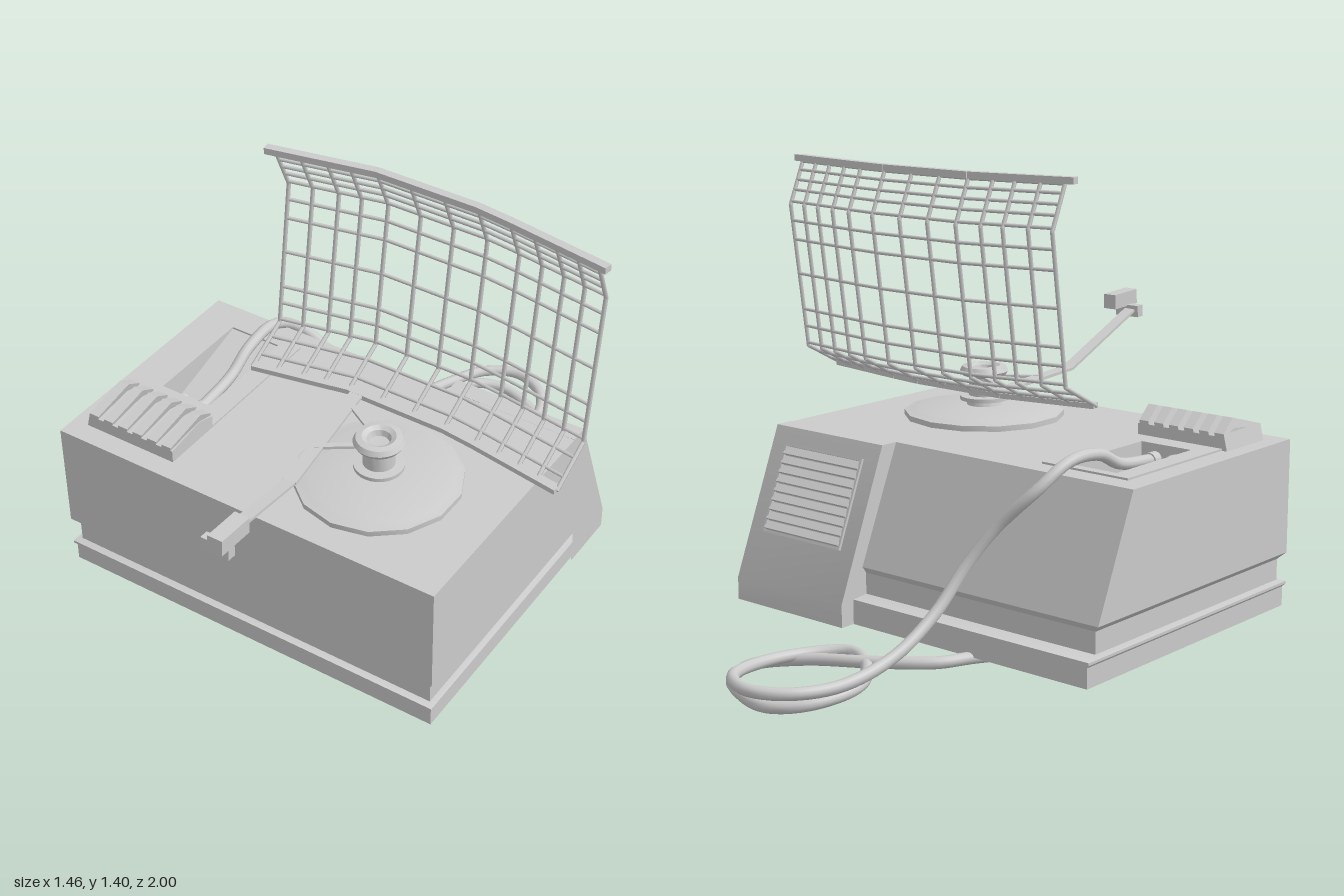
import * as THREE from 'three';
import { mergeGeometries, toCreasedNormals } from 'three/addons/utils/BufferGeometryUtils.js';

const mat = new THREE.MeshStandardMaterial({ color: 0xcccccc, side: THREE.DoubleSide });
const V = (x, y, z) => new THREE.Vector3(x, y, z);

// Surface through rows of points; closed joins the end of each row to its start
function sheet(rows, closed = false) {
  const n = rows[0].length, pos = rows.flat(2), idx = [];
  for (let r = 0; r < rows.length - 1; r++) {
    for (let i = 0; i < (closed ? n : n - 1); i++) {
      const a = r * n + i, b = r * n + (i + 1) % n;
      idx.push(a, b, b + n, a, b + n, a + n);
    }
  }
  const g = new THREE.BufferGeometry();
  g.setAttribute('position', new THREE.Float32BufferAttribute(pos, 3));
  g.setIndex(idx);
  g.computeVertexNormals();
  return toCreasedNormals(g, 0.5);
}

// Box beam from a to b: w across, h thick
function beam(a, b, w, h) {
  const d = b.clone().sub(a);
  const g = new THREE.BoxGeometry(w, h, d.length());
  const m = new THREE.Matrix4().lookAt(b, a, V(0, 1, 0)).setPosition(a.clone().add(b).multiplyScalar(0.5));
  return g.applyMatrix4(m);
}

// Round wire along a polyline
function wire(points, r) {
  return mergeGeometries(points.slice(1).map((b, i) => {
    const a = points[i], d = b.clone().sub(a);
    const q = new THREE.Quaternion().setFromUnitVectors(V(0, 1, 0), d.clone().normalize());
    const mid = a.clone().add(b).multiplyScalar(0.5);
    return new THREE.CylinderGeometry(r, r, d.length() + r, 6).applyQuaternion(q).translate(mid.x, mid.y, mid.z);
  }));
}

// Piecewise linear lookup in [[key, value], ...]
function lerpTable(t, k) {
  let i = 0;
  while (i < t.length - 2 && k > t[i + 1][0]) i++;
  const [a, va] = t[i], [b, vb] = t[i + 1];
  return va + (vb - va) * (k - a) / (b - a);
}

const rectPath = (P, x0, x1, z0, z1) => new P([[x0, -z1], [x1, -z1], [x1, -z0], [x0, -z0]].map(p => new THREE.Vector2(...p)));

export function createModel() {
  const model = new THREE.Group();
  const add = (name, geo, parent = model) => {
    const m = new THREE.Mesh(geo, mat);
    m.name = name;
    parent.add(m);
    return m;
  };

  // Housing: hollow shell with a base rim and a groove above it
  const ring = (y, x0, x1, zb, zf) => [[x0, y, zf], [x1, y, zf], [x1, y, zb], [x0, y, zb]];
  add('housingShell', sheet([
    ring(0.16, -0.70, 0.53, -0.35, 0.55),
    ring(0.09, -0.70, 0.53, -0.35, 0.55),
    ring(0.09, -0.73, 0.56, -0.39, 0.58),
    ring(0.15, -0.73, 0.56, -0.39, 0.58),
    ring(0.157, -0.735, 0.567, -0.39, 0.59),
    ring(0.165, -0.735, 0.567, -0.39, 0.59),
    ring(0.17, -0.715, 0.55, -0.335, 0.57),
    ring(0.235, -0.715, 0.55, -0.335, 0.57),
    ring(0.255, -0.735, 0.567, -0.35, 0.59),
    ring(0.605, -0.735, 0.567, -0.2, 0.59),
  ], true));

  // Top panel with the opening for the cable channel
  const well = [-0.605, -0.43, -0.10, 0.26];
  const top = rectPath(THREE.Shape, -0.735, 0.567, -0.2, 0.59);
  top.holes.push(rectPath(THREE.Path, ...well));
  add('topPanel', new THREE.ShapeGeometry(top).rotateX(-Math.PI / 2).translate(0, 0.605, 0));
  const frame = rectPath(THREE.Shape, -0.665, -0.365, -0.13, 0.33);
  frame.holes.push(rectPath(THREE.Path, ...well));
  add('channelFrame', new THREE.ExtrudeGeometry(frame, { depth: 0.008, bevelEnabled: false })
    .rotateX(-Math.PI / 2).translate(0, 0.603, 0));

  // Sloping cable channel with two sockets in its end wall
  const [wx0, wx1, wz0, wz1] = well;
  add('cableChannel', sheet([
    [[wx0, 0.605, wz0], [wx0, 0.605, wz0], [wx1, 0.605, wz0], [wx1, 0.605, wz0]],
    [[wx0, 0.605, wz1], [wx0, 0.5, wz1], [wx1, 0.5, wz1], [wx1, 0.605, wz1]],
    [[wx0, 0.605, wz1], [wx0, 0.605, wz1], [wx1, 0.605, wz1], [wx1, 0.605, wz1]],
  ]));
  for (const x of [-0.55, -0.48]) {
    add('socket', new THREE.CylinderGeometry(0.024, 0.024, 0.03, 12).rotateX(Math.PI / 2).translate(x, 0.565, 0.245));
  }

  // Ribbed cover in front of the channel
  const profile = (pts) => new THREE.Shape(pts.map(([z, y]) => new THREE.Vector2(-z, y)));
  const slab = (pts, x, w) => new THREE.ExtrudeGeometry(profile(pts), { depth: w, bevelEnabled: false })
    .rotateY(Math.PI / 2).translate(x, 0, 0);
  add('ribbedCover', slab([[0.525, 0.6], [0.525, 0.645], [0.39, 0.665], [0.33, 0.645], [0.33, 0.6]], -0.67, 0.305));
  for (let i = 0; i < 6; i++) {
    const rib = slab([[0.525, 0.6], [0.525, 0.655], [0.39, 0.693], [0.33, 0.655], [0.33, 0.6]], -0.67 + i * 0.0535, 0.033);
    const p = rib.attributes.position;
    for (let k = 0; k < p.count; k++) p.setX(k, p.getX(k) + (p.getY(k) - 0.655) * 0.25);
    rib.computeVertexNormals();
    add('coverRib', rib);
  }

  // Rear vent block, hollow underneath
  const bx0 = 0.13, bx1 = 0.568;
  const section = (y, zf, zb) => [[bx0, y, zf], [bx0, y, zb], [bx1, y, zb], [bx1, y, zf]];
  add('ventBlock', sheet([
    section(0.606, -0.2, -0.2), section(0.606, -0.2, -0.26),
    section(0.16, -0.24, -0.44), section(0.09, -0.24, -0.44),
  ]));
  const vent = new THREE.Group();
  vent.name = 'rearVent';
  vent.position.set(0.348, 0.43, -0.331);
  vent.rotation.x = Math.PI + 0.384;
  model.add(vent);
  for (let i = 0; i < 9; i++) {
    add('ventSlat', new THREE.BoxGeometry(0.31, 0.026, 0.008).rotateX(0.45).translate(0, -0.116 + i * 0.029, 0.004), vent);
  }
  for (const s of [-1, 1]) {
    add('ventSide', new THREE.BoxGeometry(0.008, 0.27, 0.012).translate(s * 0.157, 0, 0.002), vent);
    add('ventEnd', new THREE.BoxGeometry(0.322, 0.008, 0.012).translate(0, s * 0.135, 0.002), vent);
  }

  // Turntable and spindle
  const lathe = (pts, n) => toCreasedNormals(
    new THREE.LatheGeometry(pts.map(p => new THREE.Vector2(...p)), n), 0.6).translate(0.178, 0, 0.26);
  add('turntable', lathe([[0.25, 0.6], [0.25, 0.622], [0.225, 0.626], [0.205, 0.632], [0.06, 0.64], [0, 0.64]], 14));
  add('spindle', lathe([[0.055, 0.635], [0.05, 0.654], [0.075, 0.656], [0.075, 0.668], [0.048, 0.67], [0.046, 0.728],
    [0.068, 0.734], [0.076, 0.747], [0.068, 0.762], [0.05, 0.765], [0.036, 0.757], [0.03, 0.74], [0, 0.738]], 28));

  // Mesh reflector: side profile plus a forward sweep towards both ends
  const lean = [[0.725, 0.085], [0.80, -0.058], [1.255, -0.126], [1.395, -0.066]];
  const sweep = [[-0.345, 0.06], [-0.04, 0], [0.29, 0.003], [0.4, 0.017], [0.695, 0.065]];
  const at = (x, y) => V(x, y, lerpTable(lean, y) + lerpTable(sweep, x));
  const xs = [-0.345, -0.27, -0.19, -0.12, -0.04, 0.07, 0.18, 0.29, 0.40, 0.48, 0.555, 0.625, 0.695];
  const ys = [0.745, 0.775, 0.81, 0.865, 0.92, 1.035, 1.145, 1.205, 1.265, 1.30, 1.33, 1.36, 1.385];
  const reflector = new THREE.Group();
  reflector.name = 'reflector';
  model.add(reflector);
  for (const x of xs) add('uprightWire', wire(lean.map(([y]) => at(x, y)), 0.0065), reflector);
  for (const y of ys) add('crossWire', wire(xs.map(x => at(x, y)), 0.0055), reflector);
  const bar = (name, list, y, w, h) => add(name, mergeGeometries(
    list.slice(1).map((x, i) => beam(at(list[i], y), at(x, y), w, h))), reflector);
  bar('topBar', [-0.375, -0.04, 0.29, 0.4, 0.725], 1.395, 0.026, 0.02);
  bar('bottomBar', [-0.345, -0.04, 0.29, 0.4, 0.695], 0.725, 0.03, 0.016);

  // Feed arm, its braces and the feed head
  const root = V(-0.01, 0.728, 0.07), bend = V(0.055, 0.73, 0.53), tip = V(0.12, 0.86, 0.955);
  add('armBase', beam(root, bend, 0.042, 0.009));
  add('armBoom', beam(bend, tip, 0.038, 0.009));
  add('armBrace', beam(V(0.02, 0.73, 0.155), V(0.14, 0.73, 0.225), 0.018, 0.009));
  add('armBrace', beam(V(0.025, 0.73, 0.365), V(0.14, 0.73, 0.285), 0.018, 0.009));
  add('feedHead', new THREE.BoxGeometry(0.047, 0.048, 0.12).rotateX(-0.06).translate(0.152, 0.893, 0.937));
  add('feedMount', new THREE.BoxGeometry(0.09, 0.038, 0.028).rotateX(-0.06).translate(0.13, 0.855, 0.958));

  // Cable: out of the channel, down the back, looped behind and ending underneath
  const path = [
    [-0.48, 0.565, 0.25], [-0.482, 0.585, 0.08], [-0.485, 0.63, -0.02], [-0.485, 0.635, -0.16], [-0.455, 0.57, -0.26],
    [-0.35, 0.45, -0.32], [-0.29, 0.34, -0.38], [-0.265, 0.23, -0.47], [-0.25, 0.14, -0.62], [-0.22, 0.095, -0.8],
    [-0.15, 0.09, -0.93], [-0.04, 0.09, -0.98], [0.08, 0.085, -0.92], [0.125, 0.075, -0.78], [0.09, 0.07, -0.62],
    [0, 0.075, -0.54], [-0.12, 0.075, -0.6], [-0.215, 0.07, -0.74], [-0.18, 0.055, -0.88], [-0.08, 0.04, -0.94],
    [0.08, 0.025, -0.89], [0.21, 0.019, -0.8], [0.225, 0.03, -0.715], [0.08, 0.06, -0.645], [-0.12, 0.08, -0.58],
    [-0.27, 0.085, -0.48], [-0.32, 0.085, -0.38], [-0.4, 0.085, -0.25],
  ].map(p => V(...p));
  add('cable', new THREE.TubeGeometry(new THREE.CatmullRomCurve3(path), 160, 0.018, 10));

  return model;
}
